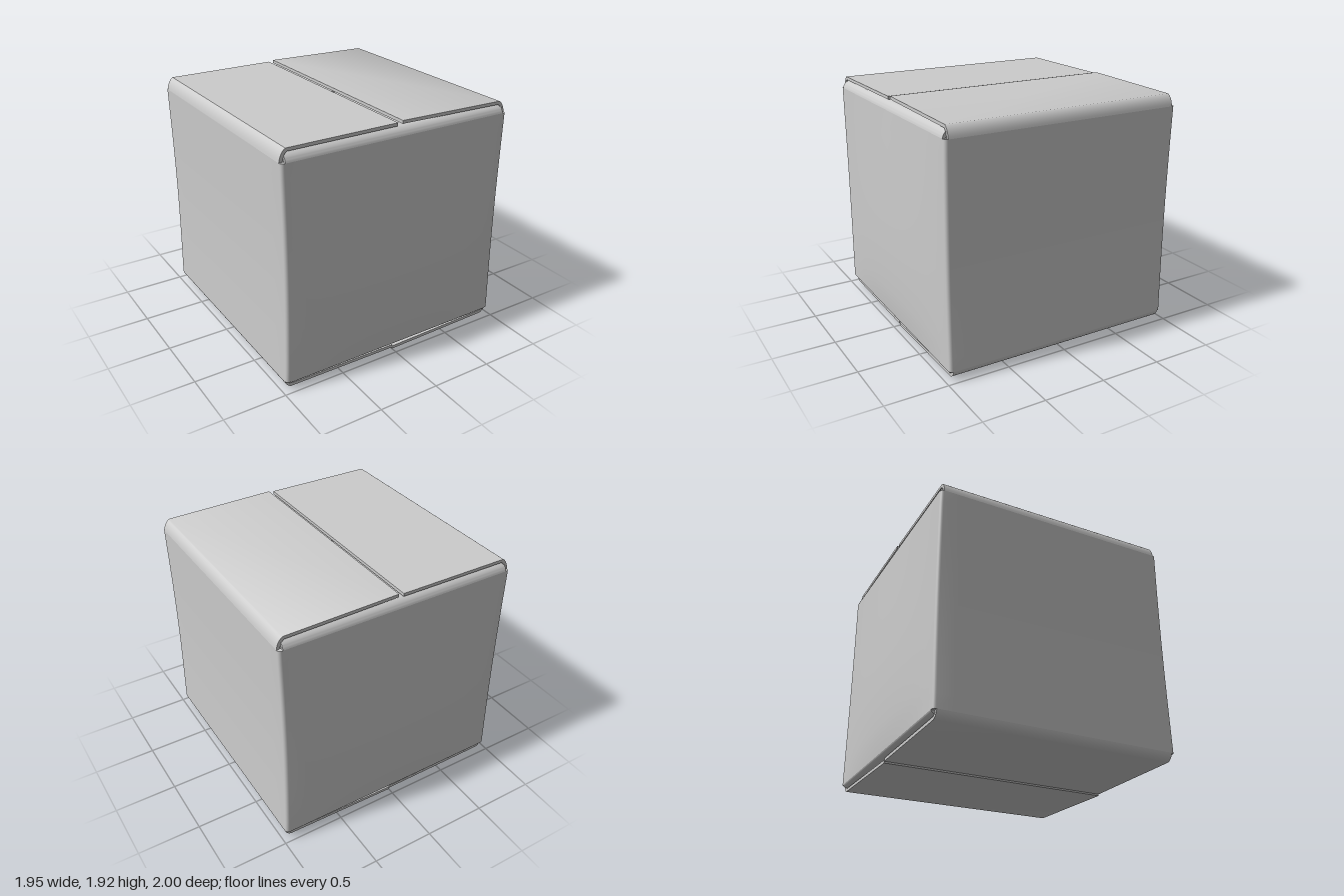
import * as THREE from 'three';
import { toCreasedNormals } from 'three/addons/utils/BufferGeometryUtils.js';

const HALF = 0.975;   // half width of the box walls
const LOW = 0.08;     // lower fold line
const HIGH = 1.81;    // upper fold line
const THICK = 0.025;  // board thickness

const material = new THREE.MeshStandardMaterial({ color: 0xcccccc, side: THREE.DoubleSide });

function part(name, geometry) {
  const mesh = new THREE.Mesh(toCreasedNormals(geometry, 0.6), material);
  mesh.name = name;
  return mesh;
}

// Closed outline of the box seen from above, with small rounded corners
function outline() {
  const r = 0.025, flat = HALF - r, ring = [];
  for (let s = 0; s < 4; s++) {
    const a = s * Math.PI / 2, c = Math.cos(a), n = Math.sin(a);
    const add = (x, z) => ring.push([x * c + z * n, -x * n + z * c]);
    for (let i = 0; i <= 14; i++) add(-flat + 2 * flat * i / 14, HALF);
    for (let i = 1; i < 4; i++) {
      const b = i * Math.PI / 8;
      add(flat + r * Math.sin(b), flat + r * Math.cos(b));
    }
  }
  ring.push(ring[0]);
  return ring;
}

// Four walls: front and back bulge outwards, the sides bend slightly inwards
function walls() {
  const ring = outline(), rows = 16, levels = [];
  for (let i = 0; i <= rows; i++) levels.push([1 - i / rows, 0]);
  for (let i = 0; i <= rows; i++) levels.push([i / rows, THICK]);
  levels.push(levels[0]);
  const g = new THREE.PlaneGeometry(1, 1, ring.length - 1, levels.length - 1);
  levels.forEach(([t, inset], j) => ring.forEach(([x, z], i) => {
    const k = 1 - inset / HALF;
    const bulge = 0.025 * Math.sin(Math.PI * Math.pow(t, 0.625)) * (1 - (x / HALF) ** 2);
    const dip = 0.013 * Math.sin(Math.PI * t);
    g.attributes.position.setXYZ(j * ring.length + i,
      x * (k - dip / HALF), LOW + t * (HIGH - LOW), z * k + Math.sign(z) * bulge);
  }));
  return part('walls', g);
}

// Flap folded from a wall: a bent strip profile swept along the fold line
function flap(name, { side, top, bend, tip, tipY, width, alongX }) {
  const y0 = top ? HIGH : LOW, d = top ? THICK : -THICK, k = bend - y0;
  const s = new THREE.Shape();
  s.moveTo(side * HALF, y0);
  s.quadraticCurveTo(side * 0.966, y0 + k * 0.72, side * 0.925, bend);
  s.lineTo(tip, tipY);
  s.lineTo(tip, tipY - d);
  s.lineTo(side * 0.915, bend - d);
  s.quadraticCurveTo(side * 0.94, y0 + (k - d) * 0.72, side * (HALF - THICK), y0);
  s.closePath();
  const g = new THREE.ExtrudeGeometry(s, { depth: width, bevelEnabled: false, curveSegments: 8 });
  g.translate(0, 0, -width / 2);
  if (alongX) g.rotateY(-Math.PI / 2);
  return part(name, g);
}

export function createModel() {
  const box = new THREE.Group();
  box.name = 'cardboardBox';
  box.add(walls());

  // Inner flaps, folded from the front and back walls
  for (const [end, side] of [['Front', 1], ['Back', -1]]) {
    const shared = { side, tip: side * 0.016, width: 1.88, alongX: true };
    box.add(flap('inner' + end + 'TopFlap', { ...shared, top: true, bend: 1.872, tipY: 1.872 }));
    box.add(flap('inner' + end + 'BottomFlap', { ...shared, top: false, bend: 0.047, tipY: 0.05 }));
  }

  // Outer flaps, folded from the side walls, each lying at its own slight tilt
  const outer = { width: 1.895, alongX: false };
  box.add(
    flap('leftTopFlap', { ...outer, side: 1, top: true, bend: 1.9, tip: 0.016, tipY: 1.916 }),
    flap('rightTopFlap', { ...outer, side: -1, top: true, bend: 1.905, tip: -0.025, tipY: 1.907 }),
    flap('leftBottomFlap', { ...outer, side: 1, top: false, bend: 0.02, tip: 0.001, tipY: 0 }),
    flap('rightBottomFlap', { ...outer, side: -1, top: false, bend: 0.02, tip: -0.001, tipY: 0.013 }),
  );
  return box;
}
